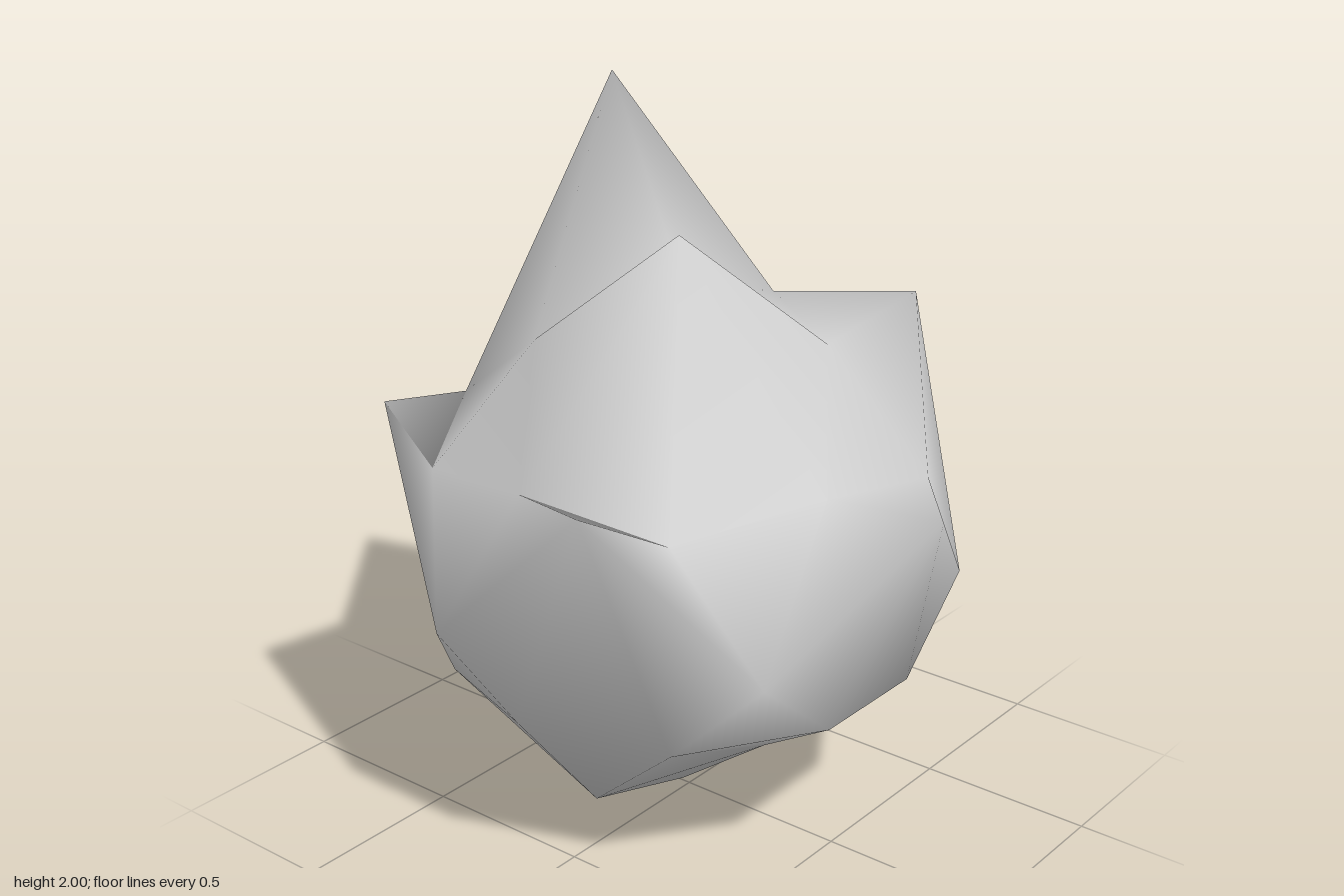
import * as THREE from 'three';
import { mergeVertices } from 'three/addons/utils/BufferGeometryUtils.js';

const RAD = Math.PI / 180;
// Unit direction from height and angle (0 = +x, 90 = +z)
const direction = (y, deg) => {
  const r = Math.sqrt(Math.max(0, 1 - y * y));
  return new THREE.Vector3(r * Math.cos(deg * RAD), y, r * Math.sin(deg * RAD));
};

// Icosahedron standing on a pole, each face split in four
function poleIcosphere() {
  const h = 0.44721;
  const points = [direction(1, 0)];
  for (let i = 0; i < 5; i++) points.push(direction(h, i * 72));
  for (let i = 0; i < 5; i++) points.push(direction(-h, i * 72 + 36));
  points.push(direction(-1, 0));
  const faces = [];
  for (let i = 0; i < 5; i++) {
    const j = (i + 1) % 5;
    const u = 1 + i, un = 1 + j, l = 6 + i, ln = 6 + j;
    faces.push(0, un, u, u, un, l, un, ln, l, 11, l, ln);
  }
  const geo = new THREE.PolyhedronGeometry(points.flatMap((p) => p.toArray()), faces, 1, 1);
  geo.deleteAttribute('uv');
  geo.deleteAttribute('normal');
  return mergeVertices(geo, 1e-3);
}

// Pulled-out points: direction height, direction angle, then position
const SPIKES = [
  [0.851, -72, 0.13, 2.0, -0.37],
  [0.851, 144, -0.29, 1.74, 0.2],
  [0.526, 36, 0.52, 1.43, 0.37],
  [0, 162, -0.75, 1.16, 0.26],
  [0, 90, -0.01, 1.05, 0.815],
  [0, -54, 0.57, 1.06, -0.82],
  [0, 234, -0.5, 1.17, -0.65],
  [-0.851, 180, -0.37, 0.11, -0.03],
  [-1, 0, 0.01, 0, -0.03],
];

export function createModel() {
  const group = new THREE.Group();
  group.name = 'spikyRock';

  const geo = poleIcosphere();
  const pos = geo.attributes.position;
  const v = new THREE.Vector3();
  for (let i = 0; i < pos.count; i++) {
    v.fromBufferAttribute(pos, i);
    const spike = SPIKES.find(([y, a]) => direction(y, a).distanceTo(v) < 0.05);
    if (spike) pos.setXYZ(i, spike[2], spike[3], spike[4]);
    // Flatter belly below the middle, taller crown above it
    else pos.setXYZ(i, 0.01 + v.x * 0.765, 0.68 + v.y * (v.y > 0 ? 0.82 : 0.445), -0.03 + v.z * 0.765);
  }
  geo.computeVertexNormals();

  const stone = new THREE.MeshStandardMaterial({ color: 0xcccccc });
  stone.name = 'stoneGrey';
  const rock = new THREE.Mesh(geo, stone);
  rock.name = 'rock';
  group.add(rock);
  return group;
}
